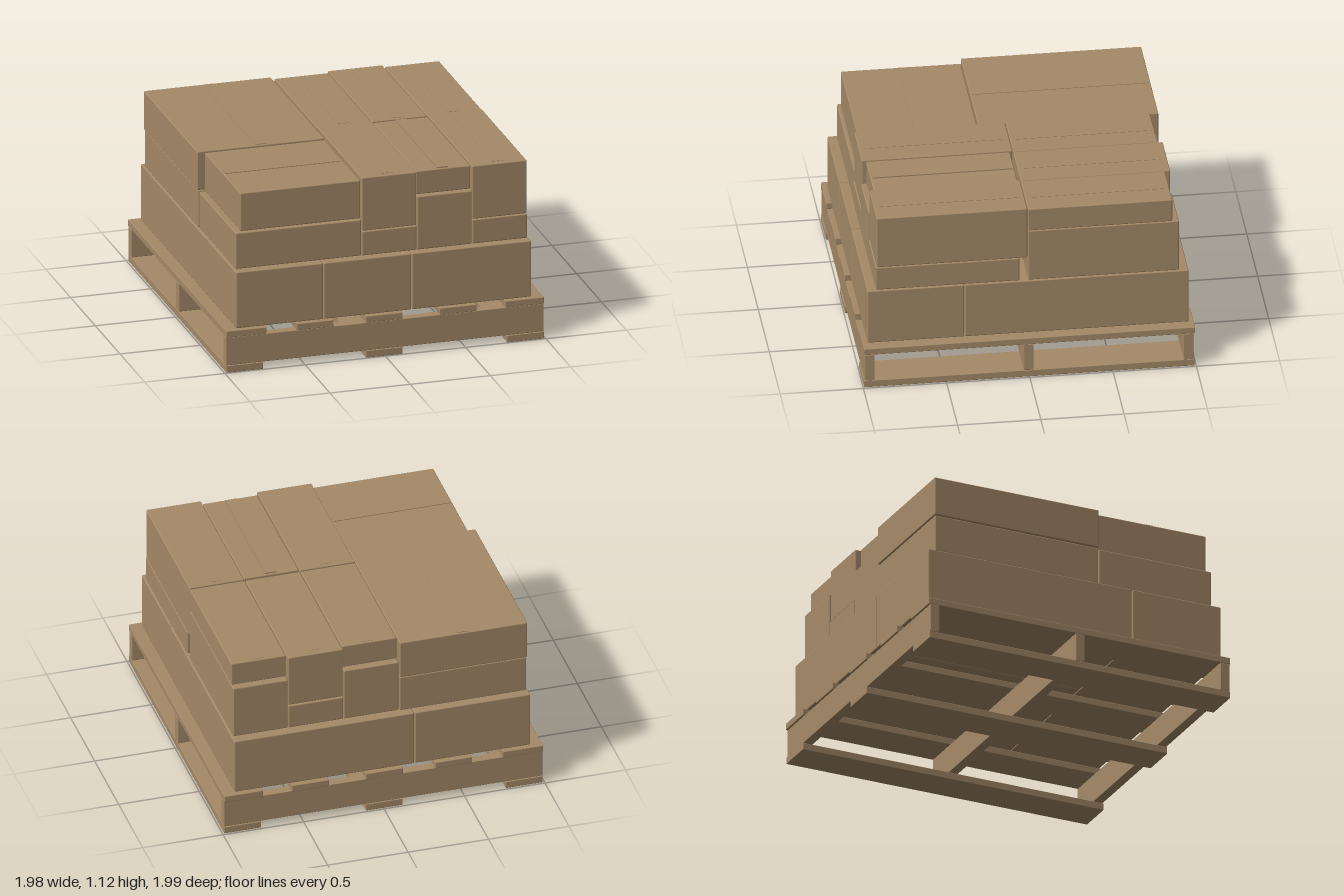
import * as THREE from 'three';
import { RoundedBoxGeometry } from 'three/addons/geometries/RoundedBoxGeometry.js';

export function createModel() {
  const model = new THREE.Group();
  model.name = 'loadedPallet';
  const kraftBrown = new THREE.MeshStandardMaterial({ color: 0xa58a68 });
  kraftBrown.name = 'kraftBrown';

  // Block given by its min and max along each axis; radius softens the edges
  function block(parent, name, [x0, x1], [y0, y1], [z0, z1], radius = 0) {
    const size = [x1 - x0, y1 - y0, z1 - z0];
    const geometry = radius
      ? new RoundedBoxGeometry(...size, 2, radius)
      : new THREE.BoxGeometry(...size);
    const mesh = new THREE.Mesh(geometry, kraftBrown);
    mesh.name = name;
    mesh.position.set((x0 + x1) / 2, (y0 + y1) / 2, (z0 + z1) / 2);
    parent.add(mesh);
    return mesh;
  }

  // Pallet: base boards, cross bearers and deck boards
  const pallet = new THREE.Group();
  pallet.name = 'pallet';
  model.add(pallet);
  for (const x of [[-0.99, -0.76], [-0.12, 0.11], [0.76, 0.99]])
    block(pallet, 'baseBoard', x, [0, 0.045], [-0.99, 0.995], 0.004);
  for (const z of [[-0.985, -0.925], [-0.025, 0.035], [0.93, 0.99]])
    block(pallet, 'bearer', [-0.99, 0.99], [0.045, 0.222], z, 0.004);
  for (const x of [[-0.99, -0.74], [-0.55, -0.32], [-0.12, 0.11], [0.34, 0.57], [0.75, 0.99]])
    block(pallet, 'deckBoard', x, [0.222, 0.264], [-0.995, 0.995], 0.004);

  const cartons = new THREE.Group();
  cartons.name = 'cartons';
  model.add(cartons);
  const carton = (name, x, y, z) => block(cartons, name, x, y, z, 0.007);

  // Bottom layer: three cartons in front, two long ones behind
  const bottom = [0.264, 0.62];
  for (const x of [[-0.92, -0.377], [-0.373, 0.173], [0.178, 0.92]])
    carton('bottomFrontCarton', x, bottom, [0.383, 0.965]);
  for (const x of [[-0.92, -0.203], [-0.198, 0.92]])
    carton('bottomBackCarton', x, bottom, [-0.965, 0.379]);

  // Wide cartons, two high
  carton('wideFrontLower', [-0.905, -0.123], [0.62, 0.848], [0.168, 0.91]);
  carton('wideFrontUpper', [-0.87, -0.123], [0.85, 1.092], [0.17, 0.89]);
  carton('wideBackLower', [-0.91, -0.123], [0.62, 0.853], [-0.915, 0.163]);
  carton('wideBackUpper', [-0.915, -0.123], [0.855, 1.1], [-0.92, 0.163]);

  // Narrow columns: low and tall cartons alternate from column to column
  const columns = [[-0.118, 0.222], [0.226, 0.566], [0.57, 0.91]];
  columns.forEach((x, i) => {
    const even = i % 2 === 0;
    const top = even ? 1.113 : 1.108;
    const frontSplit = even ? 0.775 : 0.96;
    const backSplit = even ? 0.96 : 0.775;
    carton('narrowFrontLower', x, [0.62, frontSplit - 0.002], [even ? 0.05 : 0.005, 0.913]);
    carton('narrowFrontUpper', x, [frontSplit, top], even ? [0.003, 0.908] : [0.018, 0.882]);
    carton('narrowBackLower', x, [0.62, backSplit - 0.002], [-0.908, -0.002]);
    carton('narrowBackUpper', x, [backSplit, 1.108], [even ? -0.868 : -0.9, -0.002]);
  });

  // Closing tape along the top seams
  for (const x of columns) {
    const mid = (x[0] + x[1]) / 2;
    block(cartons, 'tapeFront', [mid - 0.035, mid + 0.035], [1.105, 1.115], [0.03, 0.87]);
    block(cartons, 'tapeBack', [mid - 0.035, mid + 0.035], [1.102, 1.11], [-0.855, -0.02]);
  }
  block(cartons, 'tapeWideFront', [-0.86, -0.135], [1.087, 1.096], [0.49, 0.55]);
  block(cartons, 'tapeWideBack', [-0.55, -0.48], [1.095, 1.103], [-0.91, 0.15]);

  return model;
}
